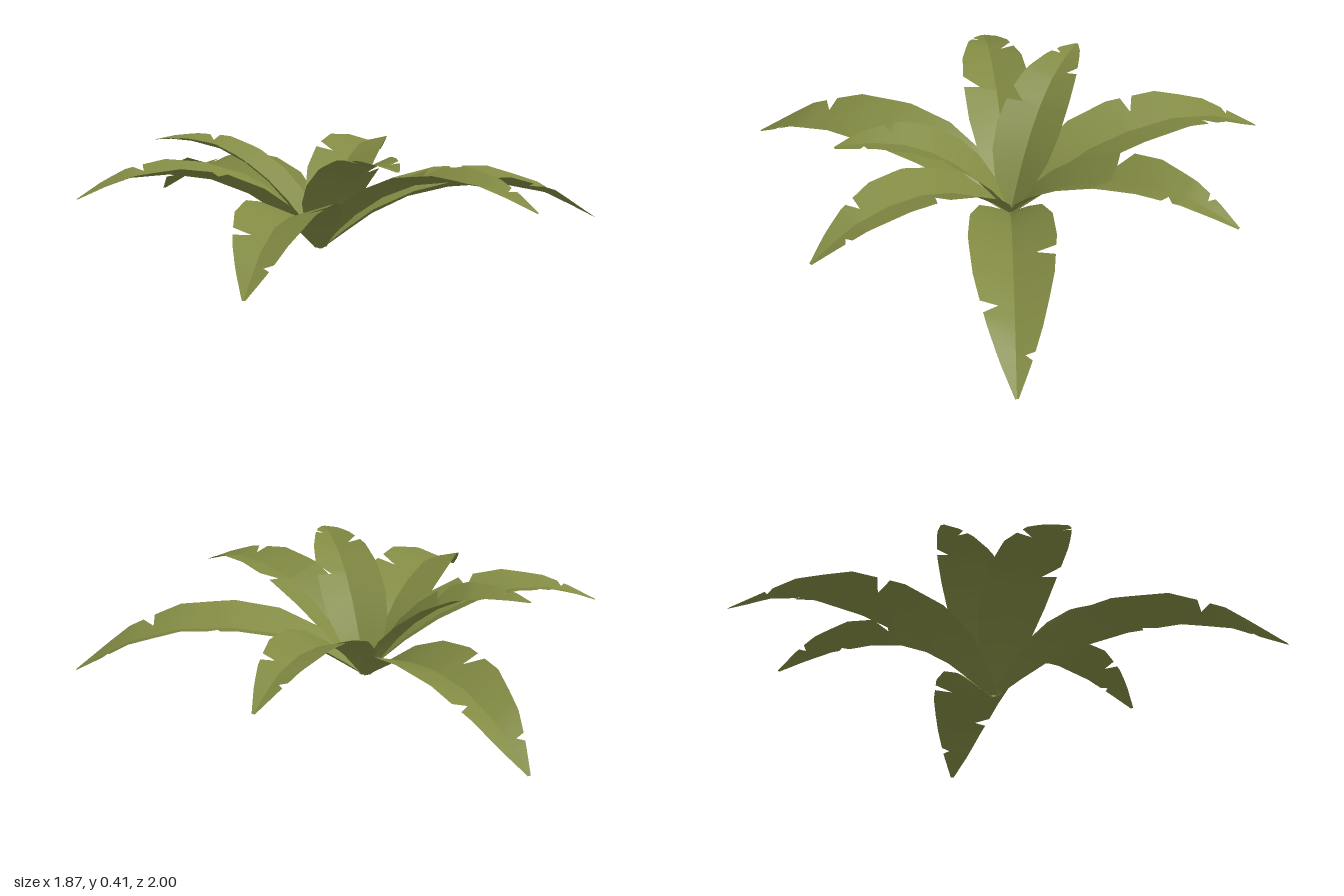
import * as THREE from 'three';

const leafGreen = new THREE.MeshStandardMaterial({ color: 0x828a43, side: THREE.DoubleSide });
leafGreen.name = 'leafGreen';

// Stations: [distance from root, rib height, half width, edge lift]
// Notches: [distance, side, depth]
const lowLeaf = {
  stations: [
    [0.01, 0, 0.025, 0.01], [0.1, 0.06, 0.07, 0.03], [0.2, 0.125, 0.115, 0.045], [0.34, 0.185, 0.148, 0.05],
    [0.5, 0.215, 0.155, 0.053], [0.7, 0.22, 0.138, 0.047], [0.89, 0.178, 0.092, 0.025],
    [1.0, 0.123, 0.05, 0.01], [1.1, 0.07, 0.006, 0],
  ],
  notches: [[0.56, -1, 0.07], [0.8, 1, 0.06], [0.97, -1, 0.03]],
};
const midLeaf = {
  stations: [
    [0.01, 0, 0.025, 0.01], [0.08, 0.075, 0.065, 0.03], [0.16, 0.145, 0.1, 0.04], [0.28, 0.225, 0.125, 0.045],
    [0.42, 0.285, 0.13, 0.045], [0.57, 0.312, 0.118, 0.038], [0.72, 0.307, 0.08, 0.02],
    [0.82, 0.277, 0.045, 0.01], [0.915, 0.24, 0.006, 0],
  ],
  notches: [[0.42, -1, 0.065], [0.66, 1, 0.05], [0.78, -1, 0.03]],
};
const highLeaf = {
  stations: [
    [0.01, 0, 0.025, 0.01], [0.07, 0.09, 0.08, 0.035], [0.13, 0.17, 0.115, 0.045], [0.2, 0.245, 0.128, 0.045],
    [0.29, 0.315, 0.123, 0.042], [0.39, 0.365, 0.105, 0.035], [0.5, 0.39, 0.07, 0.02],
    [0.58, 0.395, 0.04, 0.008], [0.645, 0.39, 0.006, 0],
  ],
  notches: [[0.28, -1, 0.06], [0.43, 1, 0.045], [0.54, -1, 0.03]],
};

function sample(stations, r) {
  let i = 0;
  while (i < stations.length - 2 && r > stations[i + 1][0]) i++;
  const a = stations[i], b = stations[i + 1];
  const k = (r - a[0]) / (b[0] - a[0]);
  const slope = Math.atan2(b[1] - a[1], b[0] - a[0]);
  return { y: a[1] + (b[1] - a[1]) * k, width: a[2] + (b[2] - a[2]) * k, lift: a[3] + (b[3] - a[3]) * k, slope };
}

// One half of a blade, from the midrib out to the notched edge
function halfBlade({ stations, notches }, side) {
  const rows = new Set(stations.map((s) => s[0]));
  for (const [r, , d] of notches) [r - 0.008, r, r + d * 0.6].forEach((v) => rows.add(v));
  const sorted = [...rows].sort((a, b) => a - b);
  const positions = [], index = [];
  sorted.forEach((r, i) => {
    const { y, width, lift, slope } = sample(stations, r);
    let cut = 0;
    for (const [at, s, depth] of notches) {
      if (s !== side) continue;
      const reach = r < at ? 0.008 : depth * 0.6;
      cut = Math.max(cut, depth * (1 - Math.abs(r - at) / reach));
    }
    const w = Math.max(width - cut, 0.004);
    const up = lift * w / width;
    positions.push(0, y, r);
    // the edge is raised along the normal of the rib
    positions.push(-side * w, y + up * Math.cos(slope), r - up * Math.sin(slope));
    if (i === 0) return;
    const a = 2 * i - 2, b = a + 1, c = a + 2, d = a + 3;
    if (side > 0) index.push(a, b, c, b, d, c);
    else index.push(a, c, b, b, c, d);
  });
  // wind the faces so that the upper side is the front
  for (let i = 0; i < index.length; i += 3) [index[i + 1], index[i + 2]] = [index[i + 2], index[i + 1]];
  const up = new THREE.Vector3(...positions.slice(3, 6)).x;
  if (up < 0) for (let i = 0; i < index.length; i += 3) [index[i + 1], index[i + 2]] = [index[i + 2], index[i + 1]];
  else for (let i = 0; i < index.length; i += 3) [index[i + 1], index[i + 2]] = [index[i + 2], index[i + 1]];
  const geometry = new THREE.BufferGeometry();
  geometry.setAttribute('position', new THREE.Float32BufferAttribute(positions, 3));
  geometry.setIndex(index);
  geometry.computeVertexNormals();
  return geometry;
}

export function createModel() {
  const plant = new THREE.Group();
  plant.name = 'leafyPlant';
  const rootZ = 0.095;
  // Each leaf points at the ground position of its tip
  const rings = [
    ['lowLeaf', lowLeaf, [[0.16, -1], [0.93, 0.69], [-0.935, 0.675]]],
    ['middleLeaf', midLeaf, [[0.81, -0.34], [0.13, 1], [-0.82, -0.32]]],
    ['upperLeaf', highLeaf, [[-0.24, 0.69], [-0.34, -0.46]]],
  ];
  for (const [name, leaf, tips] of rings) {
    const halves = [1, -1].map((side) => halfBlade(leaf, side));
    tips.forEach(([x, z], i) => {
      const group = new THREE.Group();
      group.name = `${name}${i + 1}`;
      group.position.z = rootZ;
      group.rotation.y = Math.atan2(x, z - rootZ);
      halves.forEach((geometry, h) => {
        const mesh = new THREE.Mesh(geometry, leafGreen);
        mesh.name = h === 0 ? 'rightHalf' : 'leftHalf';
        group.add(mesh);
      });
      plant.add(group);
    });
  }
  return plant;
}
